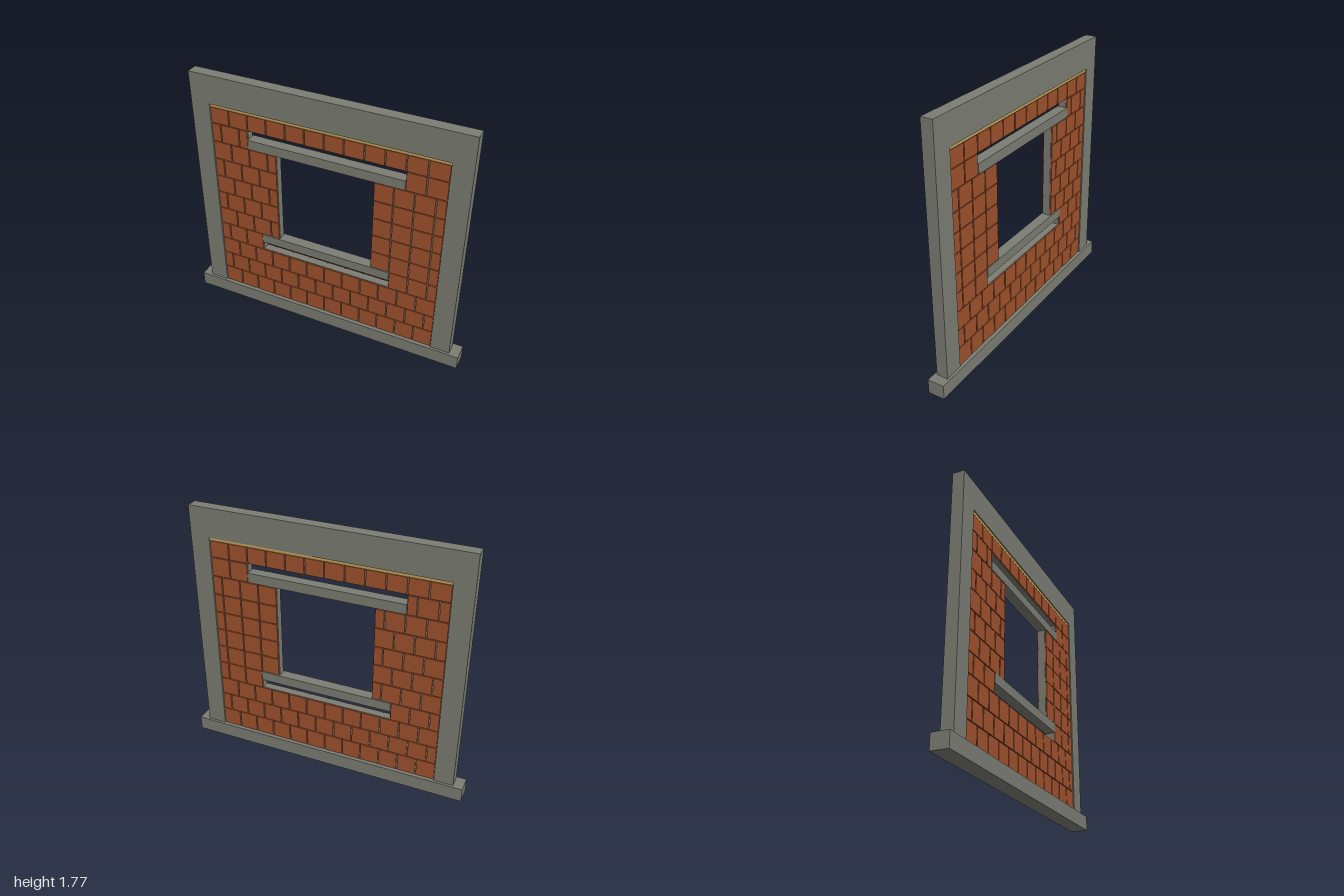
import * as THREE from 'three';

export function createModel() {
  const model = new THREE.Group();
  model.name = 'brickWallWithWindow';

  const material = (name, color) => {
    const m = new THREE.MeshStandardMaterial({ color });
    m.name = name;
    return m;
  };
  const concrete = material('concrete', 0x7c7e74);
  const brick = material('brick', 0xa0522d);
  const timber = material('timber', 0xc4a65c);

  // Box given by its x and y limits, centred on z = 0
  const slab = (parent, name, mat, x0, x1, y0, y1, depth) => {
    const mesh = new THREE.Mesh(new THREE.BoxGeometry(x1 - x0, y1 - y0, depth), mat);
    mesh.position.set((x0 + x1) / 2, (y0 + y1) / 2, 0);
    mesh.name = name;
    parent.add(mesh);
  };

  // Concrete frame
  slab(model, 'footing', concrete, -1, 1, 0, 0.1, 0.115);
  slab(model, 'leftColumn', concrete, 0.8, 0.933, 0.1, 1.57, 0.08);
  slab(model, 'rightColumn', concrete, -0.933, -0.8, 0.1, 1.57, 0.08);
  slab(model, 'topBeam', concrete, -0.933, 0.933, 1.57, 1.77, 0.08);

  // Thin filler under the beam
  slab(model, 'topFiller', timber, -0.8, 0.8, 1.55, 1.57, 0.066);

  // Window sill and lintel
  slab(model, 'windowSill', concrete, -0.467, 0.467, 0.567, 0.633, 0.074);
  slab(model, 'windowLintel', concrete, -0.535, 0.535, 1.303, 1.37, 0.074);

  // Brick courses: half-brick shift on every second row
  const W = 0.4 / 3, H = 0.4 / 3, END = 0.8;
  const wall = new THREE.Group();
  wall.name = 'brickwork';
  model.add(wall);

  const layRun = (x0, x1, y0, y1, shifted) => {
    slab(wall, 'mortarBed', concrete, x0, x1, y0, y1, 0.05);
    const first = -END - (shifted ? W / 2 : 0);
    for (let i = 0; i <= 12; i++) {
      const a = Math.max(first + i * W, x0), b = Math.min(first + (i + 1) * W, x1);
      if (b - a < 0.02) continue;
      slab(wall, 'brick', brick, a + 0.004, b - 0.004, y0 + 0.003, y1 - 0.003, 0.068);
    }
  };

  for (let row = 0; row < 11; row++) {
    const y0 = 0.1 + row * H, y1 = Math.min(y0 + H, 1.55);
    const shifted = row % 2 === 1;
    if (row < 3 || row === 10) {
      layRun(-END, END, y0, y1, shifted);
      continue;
    }
    // Half-width of the opening: sill row, lintel row, window rows
    const open = row === 3 ? 0.467 : row === 9 ? 0.535 : 0.335;
    layRun(-END, -open, y0, y1, shifted);
    layRun(open, END, y0, y1, row < 9);
  }
  return model;
}
